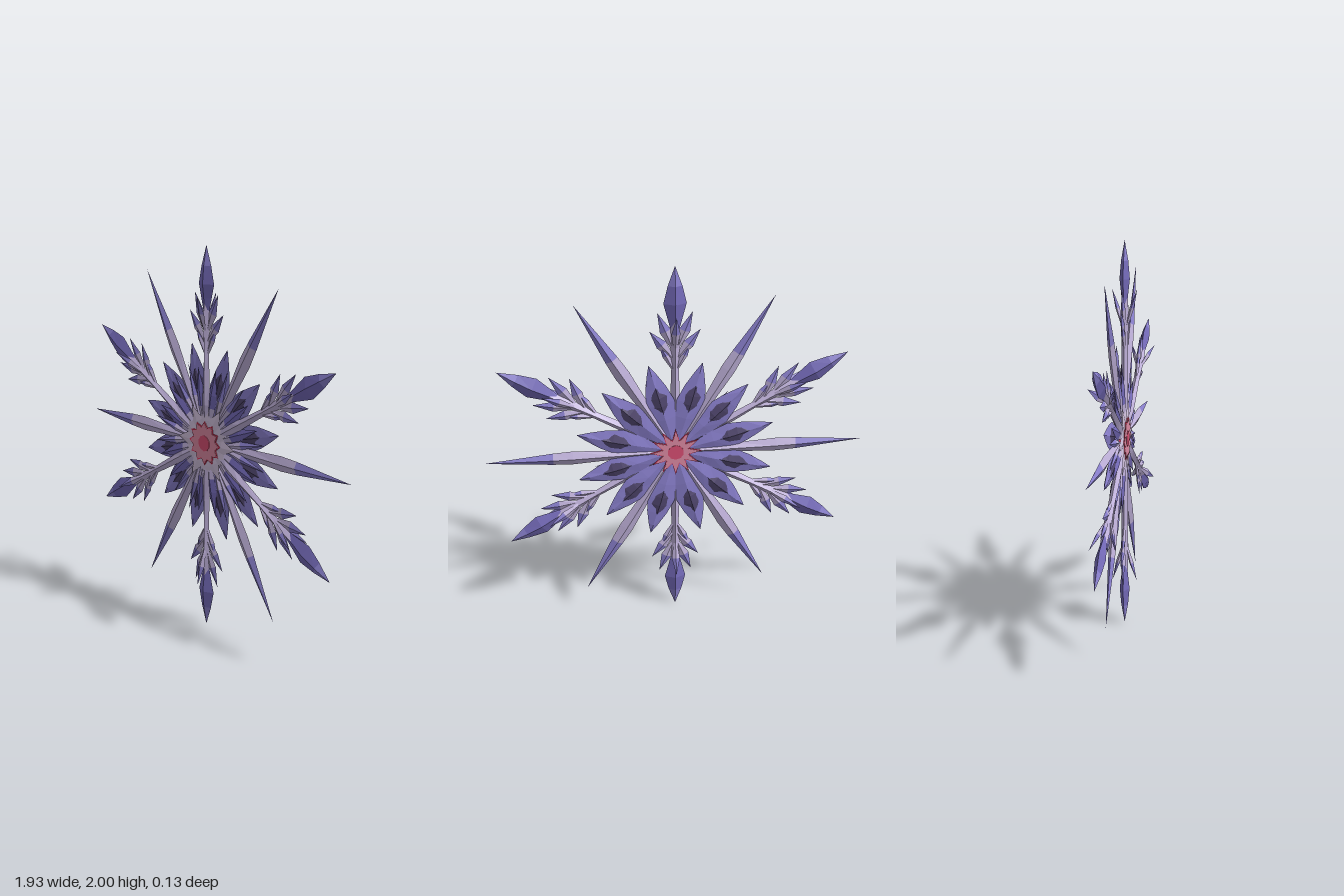
import * as THREE from 'three';

const mat = (name, color) => Object.assign(new THREE.MeshStandardMaterial({ color, flatShading: true }), { name });
const M = {
  violet: mat('violet', 0x8b81cf),
  deep: mat('deep violet', 0x756bba),
  dark: mat('dark plum', 0x51476f),
  lavender: mat('lavender', 0xbfb1da),
  pale: mat('pale lavender', 0xd2c2de),
  pink: mat('pink', 0xde8ba4),
  rose: mat('rose', 0xd94f73),
  red: mat('red', 0xe8365e),
};

// Faceted blade along +y with a diamond section; each row is [y, half width, half depth].
function bladeGeometry(rows) {
  const pos = [];
  const ring = ([y, w, d]) => [[w, y, 0], [0, y, d], [-w, y, 0], [0, y, -d]];
  for (let i = 0; i < rows.length - 1; i++) {
    const a = ring(rows[i]), b = ring(rows[i + 1]);
    for (let k = 0; k < 4; k++) {
      const n = (k + 1) % 4;
      if (rows[i][1] > 0) pos.push(...a[k], ...b[k], ...a[n]);
      if (rows[i + 1][1] > 0) pos.push(...a[n], ...b[k], ...b[n]);
    }
  }
  const g = new THREE.BufferGeometry();
  g.setAttribute('position', new THREE.Float32BufferAttribute(pos, 3));
  g.computeVertexNormals();
  return g;
}

const blade = (name, material, rows) => {
  const m = new THREE.Mesh(bladeGeometry(rows), material);
  m.name = name;
  return m;
};

function group(name, ...parts) {
  const g = new THREE.Group();
  g.name = name;
  if (parts.length) g.add(...parts);
  return g;
}

// Thin star plate in the xy plane
function star(name, material, points, outer, inner, z) {
  const s = new THREE.Shape();
  for (let i = 0; i < points * 2; i++) {
    const r = i % 2 ? inner : outer, a = Math.PI / 2 + (i * Math.PI) / points;
    s[i ? 'lineTo' : 'moveTo'](r * Math.cos(a), r * Math.sin(a));
  }
  s.closePath();
  const m = new THREE.Mesh(new THREE.ExtrudeGeometry(s, { depth: 0.003, bevelEnabled: false }), material);
  m.name = name;
  m.position.z = z - 0.0015;
  return m;
}

// Small side leaf: lavender root, violet tip
function barb(length, width) {
  const mid = length * 0.5;
  return group('barb',
    blade('barbRoot', M.lavender, [[0, 0.008, 0.006], [mid, width, 0.011]]),
    blade('barbTip', M.violet, [[mid, width, 0.011], [length, 0, 0]]));
}

function makeArm() {
  const arm = group('arm',
    blade('stem', M.lavender, [[0.05, 0.02, 0.006], [0.12, 0.03, 0.01], [0.2, 0.034, 0.018], [0.3, 0.024, 0.018],
      [0.48, 0.018, 0.016], [0.62, 0.026, 0.02], [0.72, 0.02, 0.016]]),
    blade('tipBase', M.deep, [[0.65, 0.015, 0.01], [0.74, 0.038, 0.018], [0.81, 0.056, 0.026], [0.9, 0.035, 0.018]]),
    blade('tipPoint', M.violet, [[0.9, 0.035, 0.018], [1, 0, 0]]));
  // [root radius, length, half width, lean]
  const sideBarbs = [[0.46, 0.17, 0.018, 0.45], [0.52, 0.19, 0.028, 0.66], [0.57, 0.21, 0.028, 0.38]];
  for (const [y, len, w, lean] of sideBarbs) {
    for (const s of [-1, 1]) {
      const b = barb(len, w);
      b.position.set(s * 0.008, y, 0);
      b.rotation.z = -s * lean;
      arm.add(b);
    }
  }
  // Leaves standing out of the front and back
  for (const s of [-1, 1]) {
    const b = barb(0.2, 0.022);
    b.position.set(0, 0.57, s * 0.008);
    b.rotation.x = s * 0.28;
    arm.add(b);
  }
  return arm;
}

function makeSpike() {
  const spike = group('spike',
    blade('spikeBase', M.lavender, [[0.1, 0.015, 0.012], [0.3, 0.026, 0.016], [0.52, 0.038, 0.019], [0.62, 0.033, 0.017]]),
    blade('spikePoint', M.violet, [[0.62, 0.033, 0.017], [0.965, 0, 0]]));
  // Slim leaves hugging the spike
  for (const s of [-1, 1]) {
    const leaf = group('spikeLeaf',
      blade('spikeLeafRoot', M.lavender, [[0, 0.008, 0.006], [0.11, 0.02, 0.012]]),
      blade('spikeLeafTip', M.violet, [[0.11, 0.02, 0.012], [0.28, 0, 0]]));
    leaf.position.set(s * 0.012, 0.14, 0.008);
    leaf.rotation.z = -s * 0.2;
    spike.add(leaf);
  }
  spike.position.z = -0.016;
  return spike;
}

function makePetal() {
  const petal = group('petal',
    blade('petalBody', M.violet, [[0.05, 0.012, 0.003], [0.13, 0.034, 0.006], [0.2, 0.054, 0.012], [0.29, 0.073, 0.013],
      [0.38, 0.053, 0.011], [0.46, 0.024, 0.008]]),
    blade('petalTip', M.violet, [[0.46, 0.024, 0.008], [0.515, 0, 0]]),
    blade('petalPatch', M.dark, [[0.23, 0, 0.012], [0.25, 0.035, 0.0145], [0.28, 0.054, 0.0185],
      [0.33, 0.054, 0.018], [0.38, 0.025, 0.013], [0.39, 0, 0.011]]));
  petal.position.z = -0.02;
  return petal;
}

// Front leaf layered over the petals
function makeInnerLeaf() {
  const leaf = group('innerLeaf',
    blade('leafRoot', M.lavender, [[0.08, 0.014, 0.006], [0.19, 0.03, 0.012]]),
    blade('leafTip', M.deep, [[0.19, 0.03, 0.012], [0.26, 0.03, 0.012], [0.39, 0, 0]]));
  leaf.position.z = -0.003;
  return leaf;
}

function makeRosetteLeaf() {
  const leaf = blade('rosetteLeaf', M.pale, [[0, 0.02, 0.005], [0.12, 0.042, 0.009], [0.21, 0, 0]]);
  leaf.position.z = 0.004;
  return leaf;
}

export function createModel() {
  const root = group('snowflake');
  const flake = group('flake');
  flake.position.y = 1;
  root.add(flake);

  const radial = (make, count, offset) => {
    for (let i = 0; i < count; i++) {
      const spoke = group('spoke', make());
      spoke.rotation.z = offset + (i * Math.PI * 2) / count;
      flake.add(spoke);
    }
  };
  radial(makeArm, 6, 0);
  radial(makeSpike, 6, Math.PI / 6);
  radial(makePetal, 12, Math.PI / 12);
  // Inner leaves flank each arm
  radial(makeInnerLeaf, 6, 0.17);
  radial(makeInnerLeaf, 6, -0.17);
  radial(makeRosetteLeaf, 12, 0);

  // Centre jewel, front and back
  flake.add(
    star('frontStarRim', M.red, 12, 0.116, 0.088, 0.0125),
    star('frontStar', M.pink, 12, 0.106, 0.082, 0.0145),
    star('frontHeart', M.rose, 10, 0.042, 0.04, 0.0165),
    star('backStarRim', M.red, 12, 0.135, 0.07, -0.0275),
    star('backStar', M.pink, 12, 0.122, 0.064, -0.0295),
    star('backHeart', M.rose, 10, 0.042, 0.04, -0.0315));
  return root;
}
